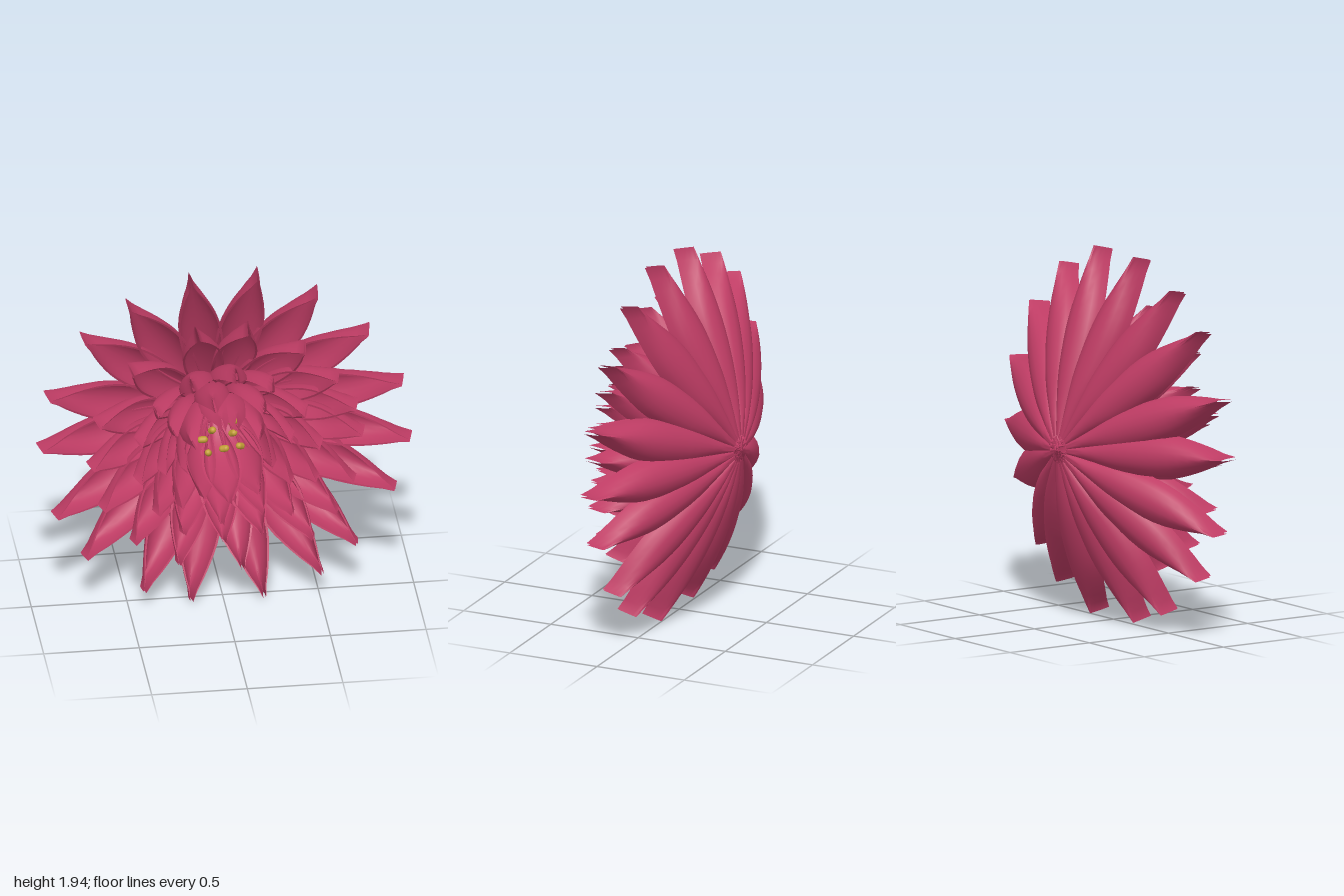
import * as THREE from 'three';
import { toCreasedNormals } from 'three/addons/utils/BufferGeometryUtils.js';

const CENTRE_Y = 0.94;

// Half width along a petal: narrow root, broad middle, pinched tip
const widthCurve = new THREE.SplineCurve([
  [0, 0.18], [0.15, 0.45], [0.35, 0.83], [0.55, 1], [0.72, 0.95], [0.88, 0.58], [1, 0.06],
].map(([x, y]) => new THREE.Vector2(x, y)));

// Boat-shaped petal growing along +y, keel at the back and folded rims in front
function petalGeometry({ root, bend, tip, width, depth, lean }) {
  const spine = new THREE.QuadraticBezierCurve(
    new THREE.Vector2(...root), new THREE.Vector2(...bend), new THREE.Vector2(...tip));
  const rise = new THREE.Vector2(-lean, 1).normalize();
  const rows = 16, side = 11, loop = side * 2;
  const pos = [], index = [];
  for (let j = 0; j <= rows; j++) {
    const t = j / rows;
    const c = spine.getPoint(t);
    const w = width * widthCurve.getPoint(t).y;
    const d = depth * (0.2 + 0.8 * Math.min(1, t / 0.45));
    const thick = Math.min(0.012, w * 0.4) * Math.pow(Math.max(0, Math.sin(Math.PI * t)), 0.4);
    for (let i = 0; i < loop; i++) {
      const inner = i >= side;
      const u = ((inner ? loop - 1 - i : i) / (side - 1)) * 2 - 1;
      const x = (inner ? w - thick : w) * Math.sin(u * Math.PI / 2);
      const h = d * Math.pow(Math.abs(u), 1.8) + (inner ? thick * (1 - u * u) : 0);
      pos.push(x, c.x + rise.x * h, c.y + rise.y * h);
    }
  }
  for (let j = 0; j < rows; j++) {
    for (let i = 0; i < loop; i++) {
      const a = j * loop + i, b = j * loop + (i + 1) % loop;
      index.push(a, a + loop, b, b, a + loop, b + loop);
    }
  }
  const geo = new THREE.BufferGeometry();
  geo.setAttribute('position', new THREE.Float32BufferAttribute(pos, 3));
  geo.setIndex(index);
  return toCreasedNormals(geo, 0.9);
}

// Evenly spread angles with a slight irregularity
const spread = (count, start) => Array.from({ length: count },
  (_, i) => start + i * 360 / count + 1.5 * Math.sin(i * 2.3));

// Petal rings from the outside in; angles are degrees clockwise from the top
const rings = [
  { name: 'outerPetals', root: [0.075, -0.35], bend: [0.55, -0.28], tip: [1, 0], width: 0.112, depth: 0.115, lean: 0.25,
    angles: [-10, 10, 29, 50, 71, 91, 109, 132, 147, 167, 191, 207, 230, 248, 273, 291, 313, 330] },
  { name: 'secondPetals', root: [0.06, -0.34], bend: [0.47, -0.25], tip: [0.74, 0.1], width: 0.105, depth: 0.115, lean: 0.28,
    angles: [-12, 9, 34, 54, 70, 83, 106, 123, 139, 173, 202, 225, 247, 268, 289, 317] },
  { name: 'thirdPetals', root: [0.05, -0.34], bend: [0.38, -0.23], tip: [0.51, 0.19], width: 0.1, depth: 0.11, lean: 0.32,
    angles: spread(14, -22) },
  { name: 'fourthPetals', root: [0.045, -0.335], bend: [0.32, -0.24], tip: [0.38, 0.23], width: 0.092, depth: 0.105, lean: 0.36,
    angles: spread(9, -12) },
  { name: 'heartPetals', root: [0.04, -0.33], bend: [0.27, -0.24], tip: [0.255, 0.24], width: 0.1, depth: 0.09, lean: 0.4,
    angles: [-52, -8, 9, 43, 92, 137, 180, 219, 268] },
];

export function createModel() {
  const petalMat = new THREE.MeshStandardMaterial({ color: 0xbe3c64 });
  petalMat.name = 'petal crimson';
  const antherMat = new THREE.MeshStandardMaterial({ color: 0xc29e36 });
  antherMat.name = 'pollen gold';
  const flower = new THREE.Group();
  flower.name = 'flower';

  for (const ring of rings) {
    const group = new THREE.Group();
    group.name = ring.name;
    group.position.y = CENTRE_Y;
    const geo = petalGeometry(ring);
    ring.angles.forEach((angle, i) => {
      const petal = new THREE.Mesh(geo, petalMat);
      petal.name = 'petal';
      petal.rotation.z = -THREE.MathUtils.degToRad(angle);
      // Upper petals reach a little further than lower ones
      petal.scale.y = 0.985 + 0.04 * Math.cos(petal.rotation.z) + 0.01 * Math.sin(i * 1.7);
      group.add(petal);
    });
    flower.add(group);
  }

  // Stamens: thin filaments from the root with small gold ends
  const stamens = new THREE.Group();
  stamens.name = 'stamens';
  const antherGeo = new THREE.CapsuleGeometry(0.018, 0.02, 4, 10);
  [0.12, 0.1, 0.06, 0.12, 0.08, 0.12, 0.1, 0.06].forEach((r, i) => {
    const angle = THREE.MathUtils.degToRad(i * 45 - 10);
    const at = (radius, z) => new THREE.Vector3(
      radius * Math.sin(angle), CENTRE_Y + radius * Math.cos(angle), z);
    const path = new THREE.QuadraticBezierCurve3(at(0.05, -0.32), at(r, -0.2), at(r, -0.04));
    const filament = new THREE.Mesh(new THREE.TubeGeometry(path, 8, 0.005, 6), petalMat);
    filament.name = 'filament';
    const anther = new THREE.Mesh(antherGeo, antherMat);
    anther.name = 'anther';
    anther.position.copy(at(r, -0.04));
    anther.rotation.set(0.9, 0, i * 1.3);
    stamens.add(filament, anther);
  });
  flower.add(stamens);
  return flower;
}
